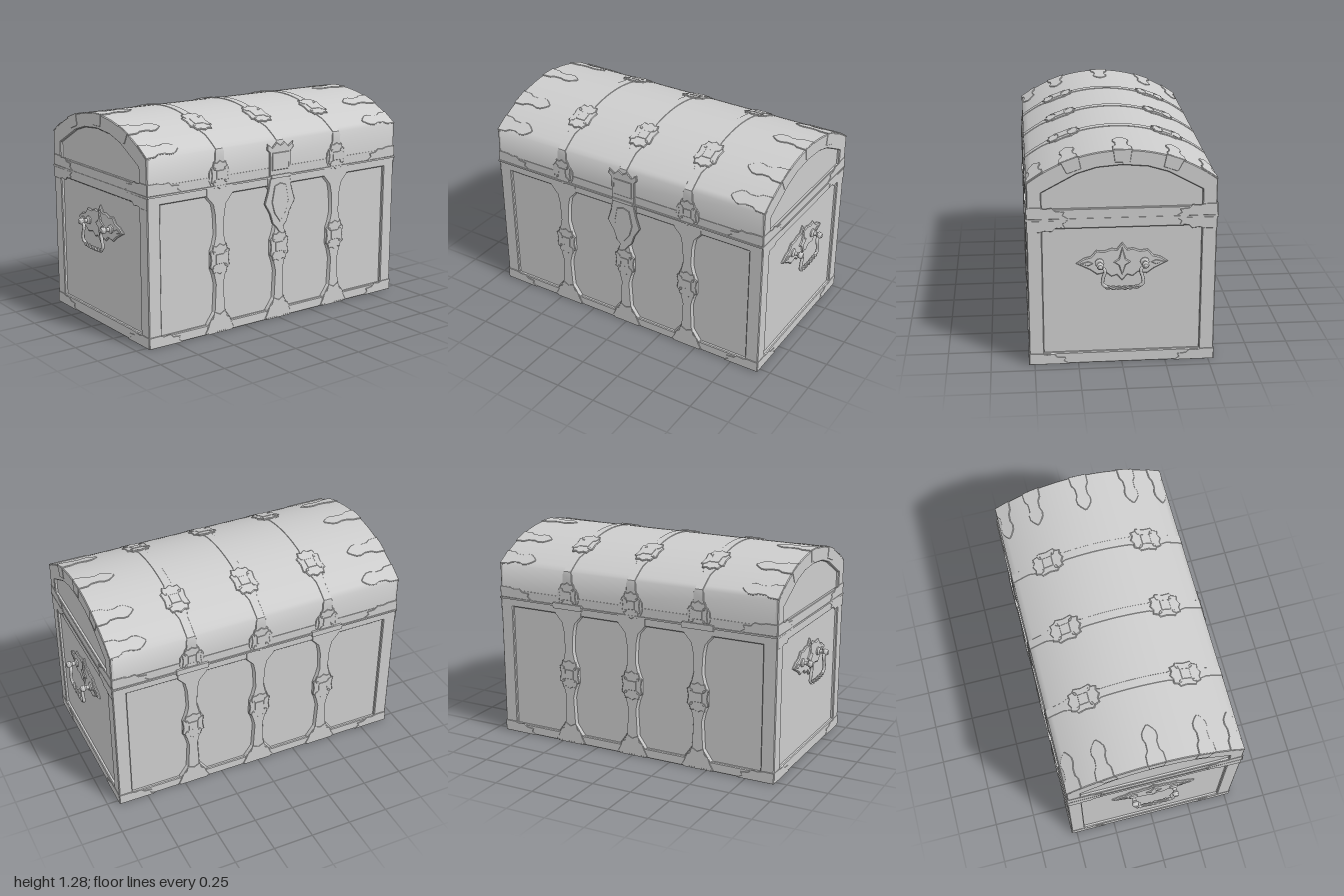
import * as THREE from 'three';
import { toCreasedNormals } from 'three/addons/utils/BufferGeometryUtils.js';

const V = (x, y, z) => new THREE.Vector3(x, y, z);
const W = 0.93, D = 0.53, SEAM = 0.882, CY = 0.41, R = 0.866;

export function createModel() {
  const chest = new THREE.Group();
  chest.name = 'chest';
  const grey = new THREE.MeshStandardMaterial({ color: 0xcccccc });
  grey.name = 'plain grey';

  const add = (name, geo, crease = 0.5) => {
    const mesh = new THREE.Mesh(toCreasedNormals(geo, crease), grey);
    mesh.name = name;
    chest.add(mesh);
  };
  const box = (name, x0, x1, y0, y1, z0, z1) =>
    add(name, new THREE.BoxGeometry(x1 - x0, y1 - y0, z1 - z0)
      .translate((x0 + x1) / 2, (y0 + y1) / 2, (z0 + z1) / 2));
  const shapeOf = pts => new THREE.Shape(pts.map(p => new THREE.Vector2(...p)));
  // Mirror half an outline across u = 0 or v = 0
  const mirrorU = pts => [...pts, ...pts.slice().reverse().map(([u, v]) => [-u, v])];
  const mirrorV = pts => [...pts, ...pts.slice().reverse().map(([u, v]) => [u, -v])];

  // Flat plate laid on a face with the given outward normal
  const plate = (name, shape, depth, pos, normal, right, bevel = 0, crease = 0.5) => {
    const geo = new THREE.ExtrudeGeometry(shape, {
      depth, bevelEnabled: bevel > 0, bevelSize: bevel, bevelOffset: -bevel,
      bevelThickness: bevel, bevelSegments: 1
    });
    const up = normal.clone().cross(right);
    geo.applyMatrix4(new THREE.Matrix4().makeBasis(right, up, normal).setPosition(pos));
    add(name, geo, crease);
  };
  const arc = (r, a) => [r * Math.sin(a), CY + r * Math.cos(a)];
  const arch = (r, half, n = 28) => {
    const a = Math.asin(half / r);
    return Array.from({ length: n + 1 }, (_, i) => arc(r, a - 2 * a * i / n));
  };
  const rect = (w, y0, y1) => [[-w, y0], [w, y0], [w, y1], [-w, y1]];

  // Strap with a chamfered section following a z-y path: [z, y, half width]
  const strap = (name, x, path, t) => {
    const pos = [], idx = [];
    path.forEach(([z, y, w], i) => {
      const a = path[Math.max(i - 1, 0)], b = path[Math.min(i + 1, path.length - 1)];
      const dz = b[0] - a[0], dy = b[1] - a[1], l = Math.hypot(dz, dy);
      const nz = dy / l, ny = -dz / l;
      [[-w, 0], [-w + 0.01, t], [w - 0.01, t], [w, 0]].forEach(([u, h]) =>
        pos.push(x + u, y + ny * h, z + nz * h));
      if (i) for (let k = 0; k < 3; k++) {
        const p = (i - 1) * 4 + k;
        idx.push(p, p + 1, p + 4, p + 1, p + 5, p + 4);
      }
    });
    const geo = new THREE.BufferGeometry();
    geo.setAttribute('position', new THREE.Float32BufferAttribute(pos, 3));
    geo.setIndex(idx);
    add(name, geo);
  };

  // Body and lid cores
  box('bodyCore', -W + 0.017, W - 0.017, 0.006, SEAM, -D + 0.017, D - 0.017);
  box('seamLip', -W - 0.003, W + 0.003, SEAM - 0.004, SEAM + 0.006, -D - 0.008, D + 0.008);
  box('lidRim', -W, W, SEAM, 0.94, -D, D);
  const lidOutline = [[-D + 0.003, SEAM], [D - 0.003, SEAM], ...arch(R, D - 0.003)];
  plate('lidCore', shapeOf(lidOutline), 2 * (W - 0.017), V(-W + 0.017, 0, 0), V(1, 0, 0), V(0, 0, -1), 0, 1.2);

  // Raised frames around the recessed panels
  const frame = (outer, hole) => {
    const s = shapeOf(outer);
    s.holes.push(new THREE.Path(hole.map(p => new THREE.Vector2(...p)).reverse()));
    return s;
  };
  const frontFrame = frame(rect(W, 0, SEAM), rect(0.845, 0.06, 0.83));
  const endFrame = frame(rect(D, 0, SEAM), rect(0.445, 0.07, 0.828));
  const lidEnd = frame(lidOutline,
    [[-0.445, 0.943], [0.445, 0.943], [0.445, 1.04], [0.25, 1.145], [0.14, 1.178], [0, 1.19],
      [-0.14, 1.178], [-0.25, 1.145], [-0.445, 1.04]]);

  // Ornament outlines
  const boss = mirrorU([[0, -0.1], [0.025, -0.085], [0.05, -0.09], [0.058, -0.06], [0.074, -0.05],
    [0.066, 0], [0.074, 0.05], [0.058, 0.06], [0.05, 0.09], [0.025, 0.085], [0, 0.1]]);
  const tongue = mirrorV([[0, -0.055], [0.06, -0.052], [0.085, -0.036], [0.13, -0.034], [0.16, -0.045],
    [0.19, -0.042], [0.215, -0.025], [0.235, -0.006]]);
  const flare = [[-0.105, 0], [0.105, 0], [0.085, 0.035], [0.07, 0.075], [0.05, 0.085],
    [0.04, 0.125], [0, 0.105], [-0.04, 0.125], [-0.05, 0.085], [-0.07, 0.075], [-0.085, 0.035]];
  const cornerLeaf = [[0, 0], [0.23, 0], [0.2, 0.02], [0.21, 0.04], [0.16, 0.045], [0.14, 0.065],
    [0.1, 0.06], [0.07, 0.068], [0, 0.068]];
  const flip = pts => pts.map(([u, v]) => [u, -v]).reverse();
  const flipU = pts => pts.map(([u, v]) => [-u, v]).reverse();

  // Boss: notched plate, raised square and four leaves around it
  const addBoss = (pos, n, right, s = 1) => {
    plate('bossPlate', shapeOf(boss.map(([u, v]) => [u * s, v * s])), 0.004, pos, n, right, 0.004);
    plate('bossCentre', shapeOf(rect(0.032 * s, -0.032 * s, 0.032 * s)), 0.007, pos, n, right, 0.003);
    for (let k = 0; k < 4; k++) {
      const dir = right.clone().applyAxisAngle(n, Math.PI / 4 + k * Math.PI / 2);
      const leaf = [[0.045, 0], [0.06, -0.01], [0.085, 0], [0.06, 0.01]].map(([u, v]) => [u * s, v * s]);
      plate('bossLeaf', shapeOf(leaf), 0.007, pos, n, dir, 0.003);
    }
  };

  const strapXs = [-0.44, 0, 0.44];
  const bodyWidths = [[0, 0.1], [0.06, 0.095], [0.13, 0.045], [0.3, 0.036], [0.36, 0.05], [0.4, 0.066],
    [0.5, 0.066], [0.54, 0.05], [0.6, 0.036], [0.72, 0.042], [0.78, 0.055], [0.83, 0.1], [SEAM, 0.1]];

  // Front and back: frame, straps, bosses, corner leaves
  for (const s of [1, -1]) {
    const n = V(0, 0, s), right = V(s, 0, 0);
    plate('longFrame', frontFrame, 0.012, V(0, 0, s * (D - 0.017)), n, right, 0.005);
    for (const x of strapXs) {
      const path = bodyWidths.map(([y, w]) => [s * (D - 0.018), y, w]);
      // The path runs upward on the front and downward on the back
      strap('bodyStrap', x, s > 0 ? path : path.reverse(), 0.02);
      addBoss(V(x, 0.45, s * (D - 0.004)), n, right, 0.95);
      plate('strapFoot', shapeOf(flare), 0.002, V(x, 0.008, s * D), n, right, 0.002);
      if (s < 0 || x) addBoss(V(x, 0.95, s * (D - 0.003)), n, right, 0.85);
    }
    for (const e of [1, -1]) {
      const leaf = e * s < 0 ? cornerLeaf : flipU(cornerLeaf);
      plate('footLeaf', shapeOf(leaf), 0.002, V(e * W, 0, s * D), n, right, 0.002);
      plate('rimLeaf', shapeOf(leaf), 0.002, V(e * W, SEAM + 0.006, s * D), n, right, 0.002);
    }
  }

  // Lid straps running from front rim over the arch to the back rim
  const widths = z => (Math.abs(z) > 0.2 && Math.abs(z) < 0.4 ? 0.046 : 0.034);
  const side = [[0.89, 0.07], [0.92, 0.085], [0.975, 0.08], [1.01, 0.05], [1.04, 0.04], [1.08, 0.04]];
  for (const x of strapXs) {
    const over = arch(R - 0.013, D - 0.014).map(([z, y]) => [z, y, widths(z)]);
    strap('lidStrap', x, [
      ...side.map(([y, w]) => [D - 0.014, y, w]), ...over,
      ...side.slice().reverse().map(([y, w]) => [-D + 0.014, y, w])], 0.016);
    for (const a of [0.355, -0.355]) {
      const [z, y] = arc(R - 0.003, a);
      addBoss(V(x, y, z), V(0, Math.cos(a), Math.sin(a)), V(1, 0, 0));
    }
    if (x) box('hinge', x - 0.1, x + 0.1, 0.865, 0.9, -0.543, -0.52);
  }

  // Lid tongues gripping the arch from both ends
  for (const e of [1, -1]) {
    for (const a of [-0.59, -0.35, 0, 0.35, 0.59]) {
      const [z, y] = arc(R - 0.004, a);
      const n = V(0, Math.cos(a), Math.sin(a));
      plate('lidTongue', shapeOf(tongue), 0.005, V(e * W, y, z), n, V(-e, 0, 0), 0.003);
    }
  }

  // Lock: pointed plate on the body and hasp on the lid
  const front = V(0, 0, 1), xr = V(1, 0, 0), lockPos = V(0, 0, D - 0.004);
  plate('lockPlate', shapeOf(mirrorU([[0, 0.535], [0.03, 0.575], [0.055, 0.6], [0.075, 0.66], [0.115, 0.725],
    [0.09, 0.8], [0.075, 0.875], [0, 0.88]])), 0.006, lockPos, front, xr, 0.004);
  plate('lockRidge', shapeOf(mirrorU([[0, 0.6], [0.045, 0.66], [0.065, 0.73], [0.045, 0.83], [0, 0.845]])),
    0.008, lockPos, front, xr, 0.005);
  plate('hasp', shapeOf(mirrorU([[0, 0.888], [0.08, 0.888], [0.08, 1.03], [0.1, 1.05], [0.095, 1.085],
    [0.06, 1.06], [0.03, 1.09], [0, 1.07]])), 0.006, lockPos, front, xr, 0.004);
  box('haspTongue', -0.07, 0.07, 0.875, 0.895, 0.5, 0.543);
  plate('haspBoss', shapeOf(rect(0.065, 0.92, 1.03)), 0.008, lockPos, front, xr, 0.005);

  // Ends: frames, clips, corner leaves and handles
  const handleOutline = mirrorU([[0, 0.505], [0.03, 0.54], [0.06, 0.53], [0.09, 0.555], [0.14, 0.545],
    [0.18, 0.575], [0.21, 0.59], [0.258, 0.615], [0.215, 0.645], [0.175, 0.655], [0.145, 0.69],
    [0.1, 0.685], [0.06, 0.7], [0.03, 0.695], [0, 0.735]]);
  for (const e of [1, -1]) {
    const n = V(e, 0, 0), right = V(0, 0, -e), base = V(e * (W - 0.017), 0, 0);
    plate('endFrame', endFrame, 0.012, base, n, right, 0.005);
    plate('lidEndFrame', lidEnd, 0.012, base, n, right, 0.005);
    for (const a of [-0.34, 0, 0.34]) {
      const [z, y] = arc(R, a);
      const across = V(0, -Math.sin(a), Math.cos(a)).multiplyScalar(-e);
      plate('lidClip', shapeOf([[-0.052, 0.003], [-0.042, -0.07], [0.042, -0.07], [0.052, 0.003]]),
        0.002, V(e * (W - 0.002), y, z), n, across, 0.002);
    }
    for (const s of [1, -1]) {
      const leaf = e * s > 0 ? cornerLeaf : flipU(cornerLeaf);
      const corner = y => V(e * (W - 0.002), y, s * D);
      plate('endFootLeaf', shapeOf(leaf), 0.002, corner(0), n, right, 0.002);
      plate('endRimLeaf', shapeOf(leaf), 0.002, corner(SEAM + 0.006), n, right, 0.002);
      plate('endTopLeaf', shapeOf(flip(leaf)), 0.002, corner(SEAM - 0.004), n, right, 0.002);
      // Rounded gusset under each bottom corner
      const gusset = [[0, 0], [0.18, 0], [0.15, 0.07], [0.09, 0.12], [0, 0.15]]
        .map(([u, v]) => [-e * u, -s * v]);
      plate('baseGusset', shapeOf(gusset), 0.006, V(e * W, 0.007, s * D), V(0, -1, 0), V(1, 0, 0));
    }

    // Handle: leafy plate, two knobs and a twisted bail
    plate('handlePlate', shapeOf(handleOutline), 0.006, base, n, right, 0.006);
    const star = mirrorU([[0, 0.54], [0.02, 0.6], [0.05, 0.62], [0.02, 0.64], [0, 0.71]]);
    plate('handleStar', shapeOf(star), 0.012, base, n, right, 0.006);
    for (const s of [1, -1]) {
      const leaf = [[0.16, 0.615], [0.19, 0.6], [0.24, 0.615], [0.19, 0.63]].map(([u, v]) => [s * u, v]);
      plate('handleLeaf', shapeOf(leaf), 0.011, base, n, right, 0.004);
      const post = [[0, 0], [0.026, 0], [0.026, 0.02], [0.012, 0.028], [0.012, 0.045], [0.02, 0.056],
        [0.02, 0.068], [0.013, 0.08], [0, 0.086]].map(p => new THREE.Vector2(...p));
      add('handlePost', new THREE.LatheGeometry(post, 12).rotateZ(-e * Math.PI / 2)
        .translate(e * (W - 0.017), 0.618, s * 0.127));
      const arm = new THREE.CatmullRomCurve3([V(e * 0.968, 0.618, s * 0.127), V(e * 0.975, 0.59, s * 0.1),
        V(e * 0.976, 0.55, s * 0.11), V(e * 0.974, 0.51, s * 0.113), V(e * 0.97, 0.49, s * 0.09)]);
      add('bailArm', new THREE.TubeGeometry(arm, 16, 0.01, 7), 1);
      // One strand of the twisted grip
      const strand = Array.from({ length: 41 }, (_, i) => {
        const u = i / 40, a = u * Math.PI * 6 + (s > 0 ? 0 : Math.PI);
        return V(e * 0.97 + 0.006 * Math.cos(a), 0.488 - 0.006 * Math.sin(u * Math.PI) + 0.006 * Math.sin(a),
          -0.097 + 0.194 * u);
      });
      add('bailStrand', new THREE.TubeGeometry(new THREE.CatmullRomCurve3(strand), 60, 0.007, 6), 1);
    }
  }
  return chest;
}
